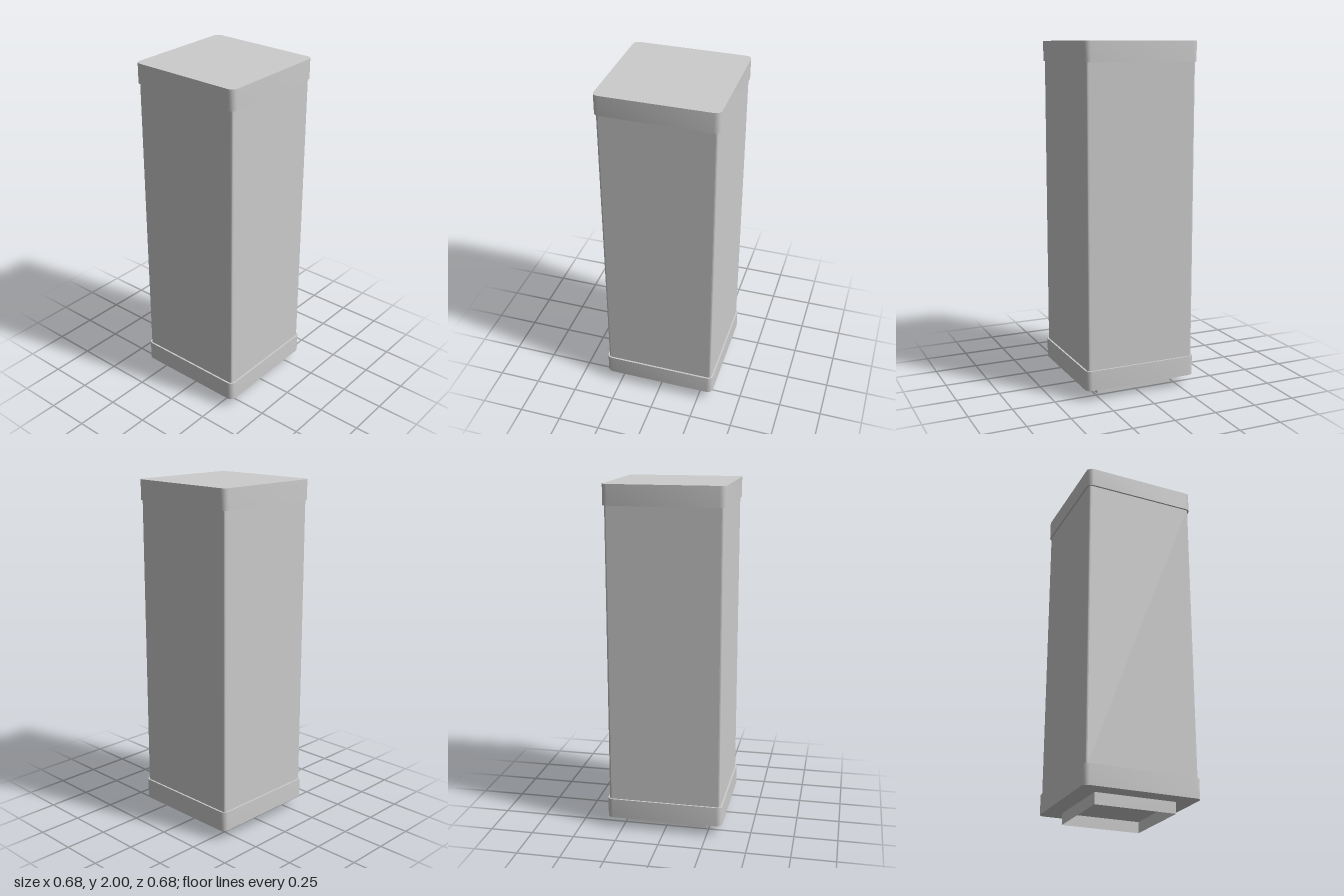
import * as THREE from 'three';
import { toCreasedNormals } from 'three/addons/utils/BufferGeometryUtils.js';

const frameMat = new THREE.MeshStandardMaterial({ color: 0xcccccc });
const panelMat = new THREE.MeshStandardMaterial({ color: 0xf0f0f0 });
const footMat = new THREE.MeshStandardMaterial({ color: 0xcccccc, side: THREE.DoubleSide });

// Upright square block with rounded vertical corners, from y0 to y1
function roundedBlock(name, half, radius, y0, y1) {
  const c = half - radius;
  const shape = new THREE.Shape();
  shape.absarc(c, c, radius, 0, Math.PI / 2);
  shape.absarc(-c, c, radius, Math.PI / 2, Math.PI);
  shape.absarc(-c, -c, radius, Math.PI, Math.PI * 1.5);
  shape.absarc(c, -c, radius, Math.PI * 1.5, Math.PI * 2);
  const geo = new THREE.ExtrudeGeometry(shape, { depth: y1 - y0, bevelEnabled: false, curveSegments: 2 });
  geo.rotateX(-Math.PI / 2).translate(0, y0, 0);
  const mesh = new THREE.Mesh(toCreasedNormals(geo, 0.9), frameMat);
  mesh.name = name;
  return mesh;
}

export function createModel() {
  const model = new THREE.Group();
  model.name = 'lantern';
  const footTop = 0.065, baseTop = 0.18, capBottom = 1.885;

  // Base, corner frame and cap
  model.add(
    roundedBlock('base', 0.339, 0.033, footTop, baseTop),
    roundedBlock('cornerFrame', 0.327, 0.013, baseTop, capBottom),
    roundedBlock('cap', 0.339, 0.033, capBottom, 2)
  );

  // Pale panel on each side, and a thin-walled foot open underneath
  const panelHeight = capBottom - baseTop;
  const panelGeo = new THREE.PlaneGeometry(0.63, panelHeight).translate(0, baseTop + panelHeight / 2, 0.3285);
  const footGeo = new THREE.PlaneGeometry(0.47, footTop).translate(0, footTop / 2, 0.235);
  const foot = new THREE.Group();
  foot.name = 'foot';
  ['front', 'left', 'back', 'right'].forEach((side, i) => {
    const panel = new THREE.Mesh(panelGeo, panelMat);
    panel.name = side + 'Panel';
    panel.rotation.y = i * Math.PI / 2;
    model.add(panel);

    const wall = new THREE.Mesh(footGeo, footMat);
    wall.name = side + 'FootWall';
    wall.rotation.y = i * Math.PI / 2;
    foot.add(wall);
  });
  model.add(foot);
  return model;
}
